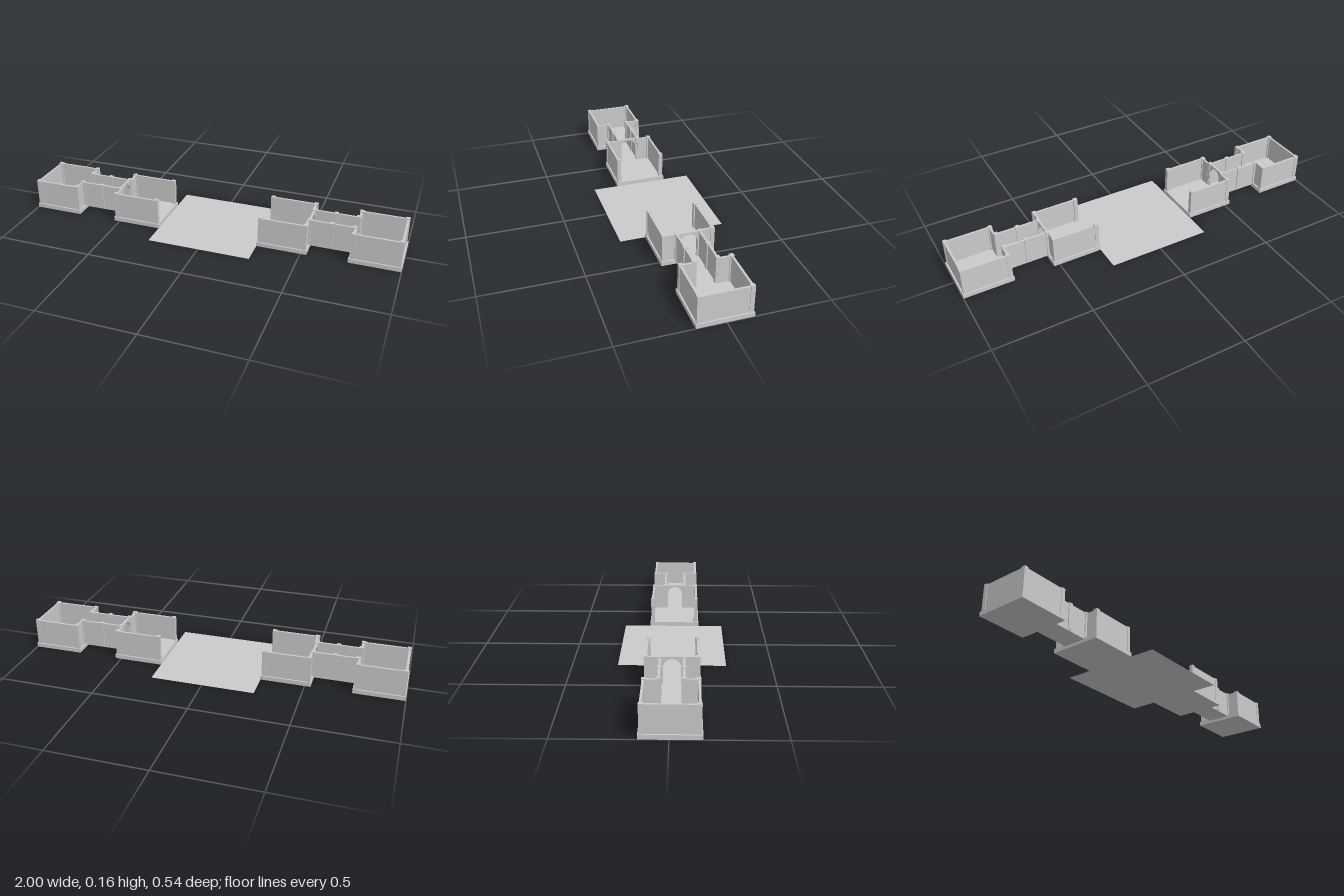
import * as THREE from 'three';

const BASE = 0.022, WALL_TOP = 0.158, POST_TOP = 0.162;
const POST = 0.021, THICK = 0.011;
const HALF = 0.125; // wall line, half depth of a room
const HALL = 0.056; // wall line, half depth of the passage

const material = new THREE.MeshStandardMaterial({ color: 0xcccccc, flatShading: true, side: THREE.DoubleSide });

function add(parent, name, geometry) {
  const mesh = new THREE.Mesh(geometry, material);
  mesh.name = name;
  parent.add(mesh);
  return mesh;
}

// Box given by its limits
function block(parent, name, x0, x1, y0, y1, z0, z1) {
  add(parent, name, new THREE.BoxGeometry(x1 - x0, y1 - y0, z1 - z0))
    .position.set((x0 + x1) / 2, (y0 + y1) / 2, (z0 + z1) / 2);
}

function post(parent, x, z) {
  const h = POST / 2;
  block(parent, 'post', x - h, x + h, BASE, POST_TOP, z - h, z + h);
}

const wallAlongX = (p, name, x0, x1, z) =>
  block(p, name, x0, x1, BASE, WALL_TOP, z - THICK / 2, z + THICK / 2);
const wallAlongZ = (p, name, x, z0, z1) =>
  block(p, name, x - THICK / 2, x + THICK / 2, BASE, WALL_TOP, z0, z1);

// Slab, side walls and corner posts; hallX is the side with the doorway
function room(parent, name, x0, x1, hallX) {
  const g = new THREE.Group();
  g.name = name;
  parent.add(g);
  block(g, 'floorSlab', x0, x1, 0, BASE, -0.136, 0.136);
  const a = x0 + 0.0155, b = x1 - 0.0155;
  const door = hallX === 'min' ? a : b;
  for (const s of [-1, 1]) {
    wallAlongX(g, 'sideWall', a, b, s * HALF * 0.98);
    post(g, a, s * HALF * 0.965);
    post(g, b, s * HALF * 0.965);
    wallAlongZ(g, 'doorWall', door, Math.min(s * HALL, s * HALF), Math.max(s * HALL, s * HALF));
  }
  return g;
}

// Thin wall with an arched doorway, set across the passage
function archway(parent, x) {
  const r = 0.042;
  const spring = 0.108;
  const shape = new THREE.Shape();
  shape.moveTo(-HALL, BASE);
  shape.lineTo(-r, BASE);
  shape.lineTo(-r, spring);
  shape.absarc(0, spring, r, Math.PI, 0, true);
  shape.lineTo(r, BASE);
  shape.lineTo(HALL, BASE);
  shape.lineTo(HALL, WALL_TOP + 0.002);
  shape.lineTo(-HALL, WALL_TOP + 0.002);
  const geo = new THREE.ExtrudeGeometry(shape, { depth: THICK, bevelEnabled: false, curveSegments: 12 });
  geo.translate(0, 0, -THICK / 2);
  geo.rotateY(Math.PI / 2);
  add(parent, 'archway', geo).position.x = x;
}

// One wing along +x: inner room, passage, outer room
function wing(name) {
  const g = new THREE.Group();
  g.name = name;
  room(g, 'innerRoom', 0.27, 0.531, 'max');
  const outer = room(g, 'outerRoom', 0.739, 1, 'min');
  wallAlongZ(outer, 'endWall', 0.9865, -HALF, HALF);

  const passage = new THREE.Group();
  passage.name = 'passage';
  g.add(passage);
  block(passage, 'passageFloor', 0.531, 0.739, 0.015, BASE, -0.062, 0.062);
  for (const s of [-1, 1]) {
    wallAlongX(passage, 'passageWall', 0.52, 0.75, s * HALL);
    for (const x of [0.522, 0.635, 0.748]) post(passage, x, s * HALL);
  }
  archway(passage, 0.522);
  return g;
}

export function createModel() {
  const model = new THREE.Group();
  model.name = 'walledCompound';

  // Flat square between the wings
  add(model, 'courtyard', new THREE.PlaneGeometry(0.543, 0.543).rotateX(-Math.PI / 2));

  const left = wing('leftWing');
  const right = wing('rightWing');
  right.rotation.y = Math.PI;
  left.position.z = right.position.z = 0.005;
  model.add(left, right);
  return model;
}
